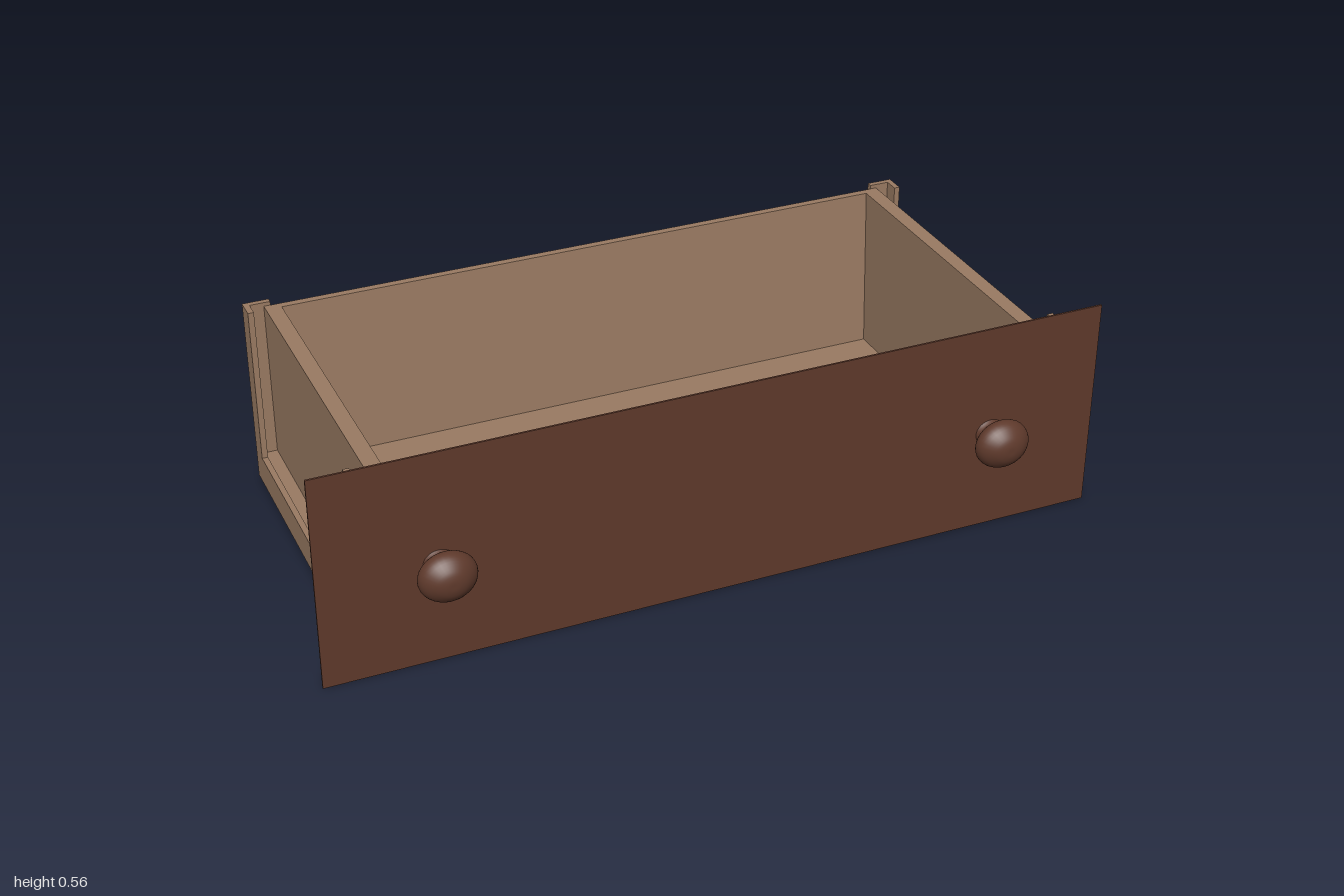
import * as THREE from 'three';

const wood = new THREE.MeshStandardMaterial({ color: 0x997a62 });
wood.name = 'light wood';
const darkWood = new THREE.MeshStandardMaterial({ color: 0x5e392b });
darkWood.name = 'dark wood';

const X = 0.9, BACK = -0.5, FRONT = 0.39, BASE = 0.03, T = 0.015;

// Box given by its minimum and maximum corners
function block(parent, name, material, x0, x1, y0, y1, z0, z1) {
  const mesh = new THREE.Mesh(new THREE.BoxGeometry(x1 - x0, y1 - y0, z1 - z0), material);
  mesh.position.set((x0 + x1) / 2, (y0 + y1) / 2, (z0 + z1) / 2);
  mesh.name = name;
  parent.add(mesh);
  return mesh;
}

// Board running along x with a cross-section given as [z, y] points
function longBoard(parent, name, halfLength, points) {
  const shape = new THREE.Shape(points.map(([z, y]) => new THREE.Vector2(z, y)));
  const geometry = new THREE.ExtrudeGeometry(shape, { depth: halfLength * 2, bevelEnabled: false });
  geometry.rotateY(-Math.PI / 2).translate(halfLength, 0, 0);
  const mesh = new THREE.Mesh(geometry, wood);
  mesh.name = name;
  parent.add(mesh);
}

// Solid ring under the walls, with the bottom board set into it
function addBottom(group) {
  const outer = new THREE.Shape([
    new THREE.Vector2(-X + T, -FRONT + T), new THREE.Vector2(X - T, -FRONT + T),
    new THREE.Vector2(X - T, -BACK - T), new THREE.Vector2(-X + T, -BACK - T)]);
  outer.holes.push(new THREE.Path([
    new THREE.Vector2(-0.81, -0.34), new THREE.Vector2(-0.81, 0.45),
    new THREE.Vector2(0.81, 0.45), new THREE.Vector2(0.81, -0.34)]));
  const geometry = new THREE.ExtrudeGeometry(outer, { depth: 0.07, bevelEnabled: false });
  geometry.rotateX(-Math.PI / 2).translate(0, BASE, 0);
  const ring = new THREE.Mesh(geometry, wood);
  ring.name = 'bottomFrame';
  group.add(ring);
  block(group, 'bottomBoard', wood, -0.81, 0.81, 0.042, 0.08, -0.45, 0.34);
}

// Thin outer rails and L-shaped corner posts
function addFrame(group) {
  const railTop = 0.11, postTop = 0.525;
  block(group, 'backRail', wood, -X, X, BASE, railTop, BACK, BACK + T);
  block(group, 'frontRail', wood, -X, X, BASE, railTop, FRONT - T, FRONT);
  for (const side of [-1, 1]) {
    const outside = side * X, inside = side * (X - T);
    const x0 = Math.min(outside, inside), x1 = Math.max(outside, inside);
    block(group, 'sideRail', wood, x0, x1, BASE, railTop, BACK + T, FRONT - T);
    for (const end of ['back', 'front']) {
      const isBack = end === 'back';
      const post = new THREE.Group();
      post.name = end + 'CornerPost';
      const z0 = isBack ? BACK : FRONT - 0.055;
      block(post, 'postSide', wood, x0, x1, railTop, postTop, z0, z0 + 0.055);
      const zf = isBack ? BACK : FRONT - T;
      const a = side * 0.833, b = inside;
      block(post, 'postFace', wood, Math.min(a, b), Math.max(a, b), railTop, postTop, zf, zf + T);
      group.add(post);
    }
  }
}

// Upright side walls, and end walls that thicken towards the floor
function addWalls(group) {
  const top = 0.515;
  block(group, 'leftWall', wood, 0.81, 0.85, 0.08, top, BACK + T, FRONT - T);
  block(group, 'rightWall', wood, -0.85, -0.81, 0.08, top, BACK + T, FRONT - T);
  longBoard(group, 'backWall', 0.81, [[-0.485, 0.08], [-0.44, 0.08], [-0.465, top], [-0.485, top]]);
  longBoard(group, 'frontWall', 0.81, [[0.31, 0.08], [0.375, 0.08], [0.375, top], [0.345, top]]);
}

// Rounded knob, slightly wider than tall
function addKnob(group, x) {
  const profile = new THREE.SplineCurve([
    [0.036, 0], [0.030, 0.012], [0.032, 0.024], [0.050, 0.036], [0.063, 0.055],
    [0.057, 0.078], [0.036, 0.098], [0.016, 0.106], [0, 0.107],
  ].map(([r, h]) => new THREE.Vector2(r, h))).getPoints(32);
  profile.forEach((p) => { p.x = Math.max(p.x, 0); });
  const geometry = new THREE.LatheGeometry(profile, 32);
  geometry.rotateX(Math.PI / 2).scale(1.12, 1, 1);
  const knob = new THREE.Mesh(geometry, darkWood);
  knob.position.set(x, 0.265, 0.393);
  knob.name = 'knob';
  group.add(knob);
}

export function createModel() {
  const group = new THREE.Group();
  group.name = 'drawer';
  addBottom(group);
  addFrame(group);
  addWalls(group);
  block(group, 'frontPanel', darkWood, -1, 1, 0, 0.555, FRONT, FRONT + 0.005);
  addKnob(group, -0.71);
  addKnob(group, 0.71);
  return group;
}
